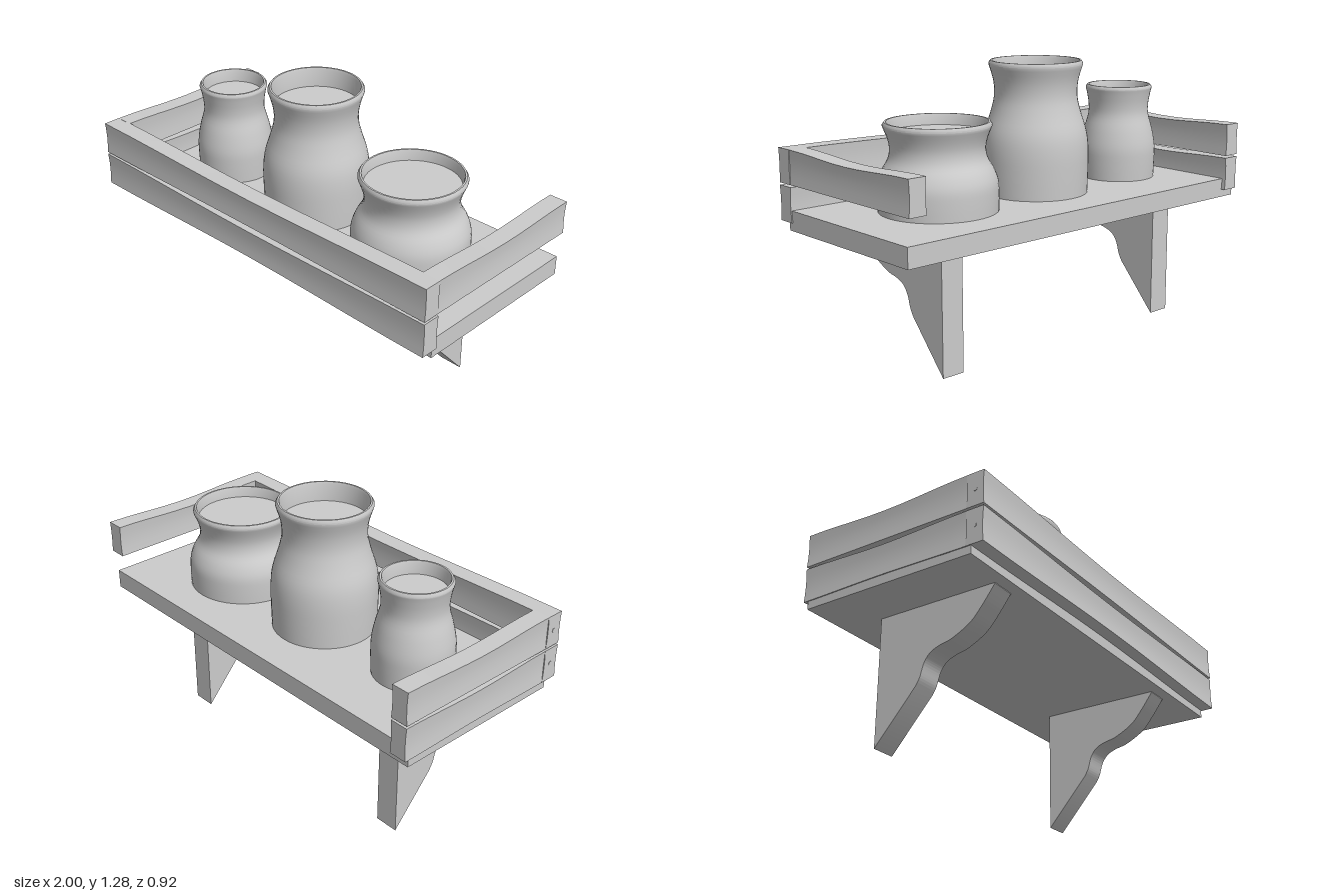
import * as THREE from 'three';
import { toCreasedNormals } from 'three/addons/utils/BufferGeometryUtils.js';

const material = new THREE.MeshStandardMaterial({ color: 0xcccccc, side: THREE.DoubleSide });

function addMesh(parent, name, geometry, x = 0, y = 0, z = 0) {
  const mesh = new THREE.Mesh(geometry, material);
  mesh.name = name;
  mesh.position.set(x, y, z);
  parent.add(mesh);
  return mesh;
}

// Hand-hewn plank along x: edges sag towards mid-length, faces are slightly dished
function plankGeometry(length, height, depth, sagTop, sagBottom) {
  const geo = new THREE.BoxGeometry(length, height, depth, 10, 4, 1);
  const p = geo.attributes.position;
  for (let i = 0; i < p.count; i++) {
    const x = p.getX(i), v = p.getY(i) / (height / 2);
    const middle = Math.cos((x / length) * Math.PI) ** 2;
    const sag = v > 0 ? sagTop : sagBottom;
    p.setY(i, p.getY(i) - v * sag * middle);
    p.setZ(i, p.getZ(i) * (1 - 0.1 * (1 - v * v)));
  }
  return toCreasedNormals(geo, 0.6);
}

// Jar: [radius, y] body points, turned lip, then inner wall down to the contents
function jarGeometry(body, top, rim, depth) {
  const wall = new THREE.SplineCurve(body.map(([r, y]) => new THREE.Vector2(r, y))).getPoints(24);
  const base = body[0];
  const lip = [
    [rim, top - 0.012], [rim - 0.008, top], [rim - 0.016, top], [rim - 0.02, top - 0.012],
    [rim - 0.024, top - depth], [0, top - depth],
  ];
  const profile = [
    new THREE.Vector2(0, base[1]), ...wall,
    ...lip.map(([r, y]) => new THREE.Vector2(r, y)),
  ];
  return toCreasedNormals(new THREE.LatheGeometry(profile, 48), 0.6);
}

// Scrolled wall bracket, drawn in the z-y plane and extruded along x
function bracketGeometry(thickness) {
  const s = new THREE.Shape();
  s.moveTo(-0.24, 0.59);
  s.lineTo(-0.24, 0);
  s.lineTo(-0.04, 0.225);
  s.splineThru([
    [-0.02, 0.26], [0, 0.32], [0.03, 0.357], [0.075, 0.377], [0.14, 0.393],
    [0.225, 0.438], [0.28, 0.495], [0.345, 0.58],
  ].map(([z, y]) => new THREE.Vector2(z, y)));
  s.lineTo(0.345, 0.59);
  s.closePath();
  const geo = new THREE.ExtrudeGeometry(s, { depth: thickness, bevelEnabled: false, curveSegments: 32 });
  geo.translate(0, 0, -thickness / 2);
  geo.rotateY(-Math.PI / 2);
  return toCreasedNormals(geo, 0.5);
}

export function createModel() {
  const model = new THREE.Group();
  model.name = 'shelfWithJars';

  // Shelf board
  addMesh(model, 'shelfBoard', new THREE.BoxGeometry(1.99, 0.09, 0.84), 0, 0.628, -0.02);

  // Brackets
  const bracket = bracketGeometry(0.112);
  addMesh(model, 'rightBracket', bracket, -0.7, 0, 0);
  addMesh(model, 'leftBracket', bracket, 0.617, 0, 0);

  // Front rails
  addMesh(model, 'frontUpperRail', plankGeometry(2, 0.153, 0.085, 0.015, 0.006), 0, 0.864, 0.418);
  addMesh(model, 'frontLowerRail', plankGeometry(2, 0.157, 0.085, 0.012, 0.015), 0, 0.698, 0.418);

  // Side rails: the left side has only the upper one
  const side = (name, x, y, height, sagTop, sagBottom) => {
    const rail = addMesh(model, name, plankGeometry(0.84, height, 0.085, sagTop, sagBottom), x, y, -0.04);
    rail.rotation.y = Math.PI / 2;
  };
  side('leftUpperRail', 0.957, 0.864, 0.153, 0.015, 0);
  side('rightUpperRail', -0.957, 0.864, 0.153, 0.015, 0);
  side('rightLowerRail', -0.957, 0.698, 0.157, 0.012, 0.005);

  // Nail heads in the right-hand ends of the front rails
  for (const y of [0.7, 0.864]) {
    const nail = addMesh(model, 'nailHead', new THREE.CylinderGeometry(0.01, 0.01, 0.01, 12), -0.997, y, 0.418);
    nail.rotation.z = Math.PI / 2;
  }

  // Jars
  addMesh(model, 'smallJar', jarGeometry([
    [0.178, 0.67], [0.181, 0.76], [0.18, 0.83], [0.165, 0.91], [0.146, 0.98],
    [0.145, 1.03], [0.153, 1.08], [0.16, 1.11],
  ], 1.125, 0.16, 0.06), -0.615, 0, -0.025);
  addMesh(model, 'tallJar', jarGeometry([
    [0.24, 0.67], [0.243, 0.78], [0.243, 0.88], [0.233, 0.96], [0.205, 1.05],
    [0.19, 1.12], [0.194, 1.19], [0.215, 1.262],
  ], 1.28, 0.215, 0.09), -0.06, 0, -0.025);
  addMesh(model, 'wideJar', jarGeometry([
    [0.262, 0.67], [0.263, 0.74], [0.26, 0.8], [0.243, 0.85], [0.215, 0.9],
    [0.207, 0.945], [0.215, 0.99], [0.235, 1.042],
  ], 1.06, 0.235, 0.05), 0.513, 0, -0.025);

  return model;
}
